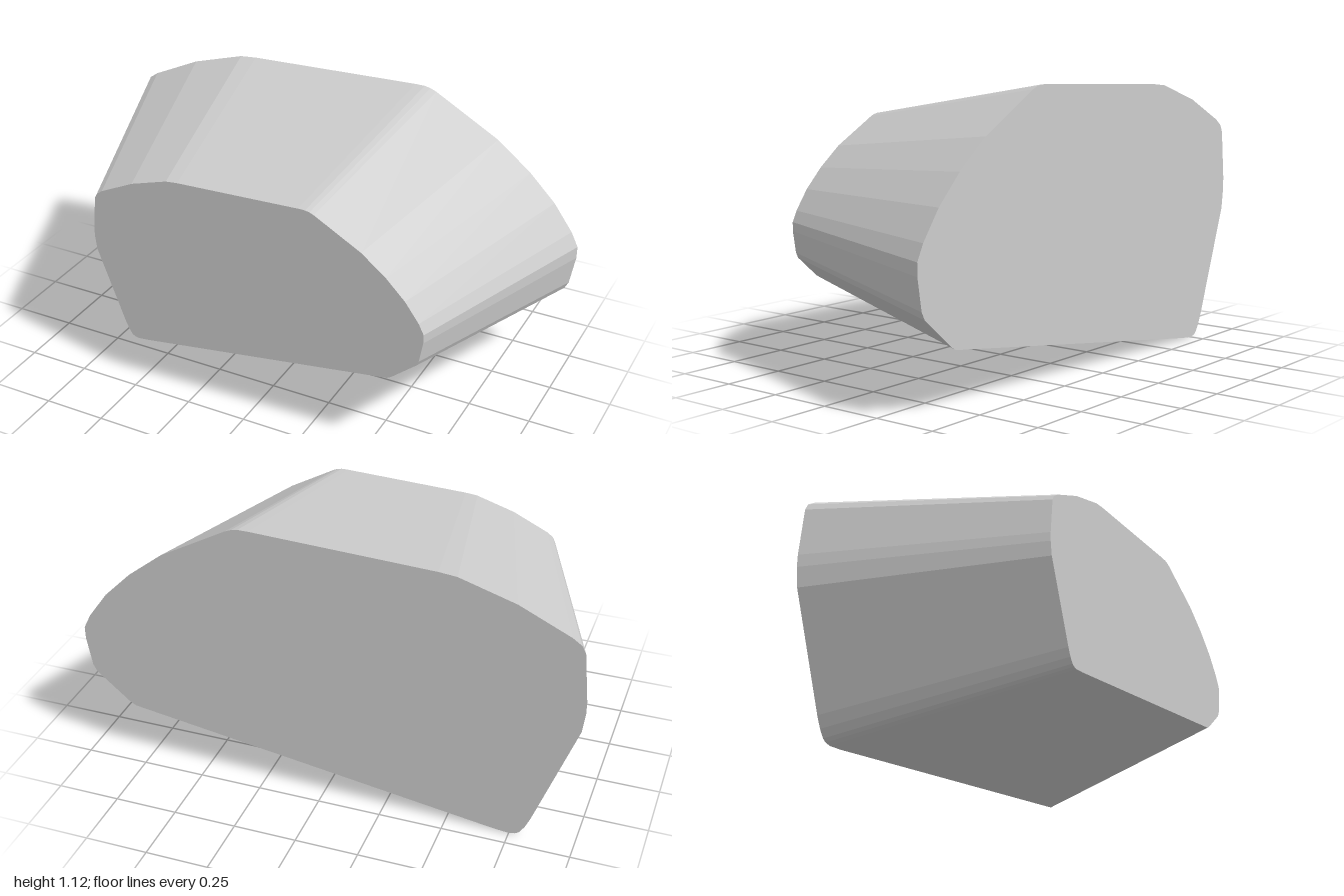
import * as THREE from 'three';

// Outline of the large back face, counter-clockwise seen from the front
const OUTLINE = [
  [-0.79, 0.015], [-0.775, 0.005], [-0.75, 0], [-0.69, 0.006], [0.78, 0.226], [0.805, 0.23], [0.83, 0.245],
  [0.965, 0.36], [0.98, 0.39], [1, 0.51], [1, 0.56], [0.97, 0.62], [0.89, 0.73],
  [0.78, 0.84], [0.64, 0.95], [0.37, 1.1], [0.345, 1.11], [0.32, 1.115], [0.28, 1.115],
  [-0.44, 1.085], [-0.51, 1.078], [-0.73, 1.01], [-0.93, 0.915], [-0.965, 0.89],
  [-0.98, 0.86], [-1, 0.66], [-1, 0.61], [-0.99, 0.53], [-0.83, 0.09], [-0.81, 0.045],
];
const HALF_DEPTH = 0.44;
const FRONT_SCALE = 0.7;

export function createModel() {
  const group = new THREE.Group();
  group.name = 'taperedBlock';
  const grey = new THREE.MeshStandardMaterial({ color: 0xcccccc });
  grey.name = 'light grey';

  const shape = new THREE.Shape(OUTLINE.map(([x, y]) => new THREE.Vector2(x, y)));
  const geometry = new THREE.ExtrudeGeometry(shape, { depth: 2 * HALF_DEPTH, bevelEnabled: false });
  geometry.translate(0, 0, -HALF_DEPTH);

  // Shrink the front face and lift it so the sides taper
  const pos = geometry.attributes.position;
  for (let i = 0; i < pos.count; i++) {
    if (pos.getZ(i) > 0) {
      pos.setX(i, pos.getX(i) * FRONT_SCALE + 0.015);
      pos.setY(i, pos.getY(i) * FRONT_SCALE + 0.19);
    }
  }
  geometry.computeVertexNormals();

  const block = new THREE.Mesh(geometry, grey);
  block.name = 'block';
  group.add(block);
  return group;
}
